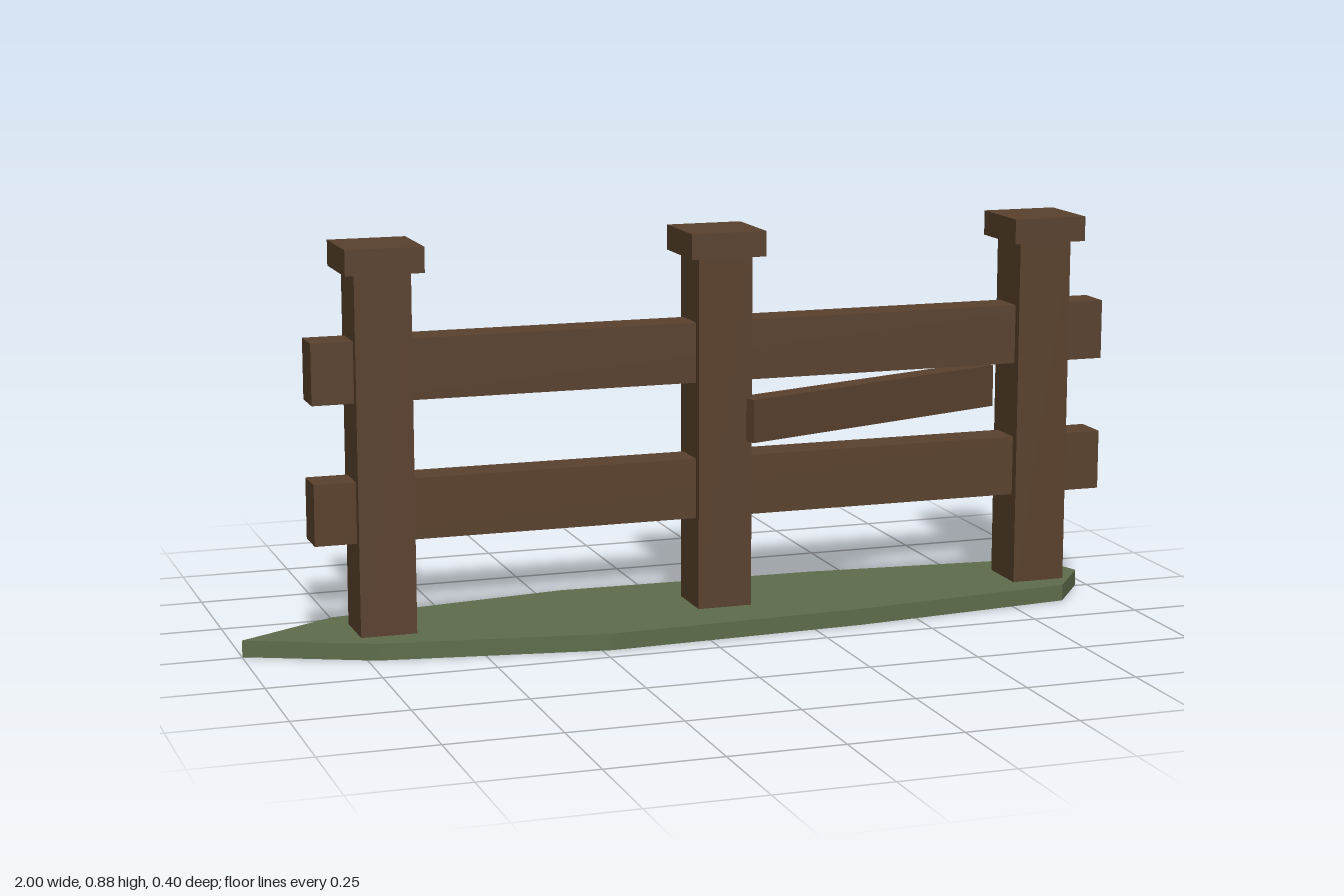
import * as THREE from 'three';

export function createModel() {
  const model = new THREE.Group();
  model.name = 'fence';

  const wood = new THREE.MeshStandardMaterial({ color: 0x5a412d, flatShading: true });
  wood.name = 'brown wood';
  const grass = new THREE.MeshStandardMaterial({ color: 0x5e6d4b, flatShading: true });
  grass.name = 'grass green';

  // Box beam centred on x and z, spanning bottom to top
  function beam(name, width, bottom, top, depth, x = 0, z = 0) {
    const mesh = new THREE.Mesh(new THREE.BoxGeometry(width, top - bottom, depth), wood);
    mesh.name = name;
    mesh.position.set(x, (bottom + top) / 2, z);
    model.add(mesh);
    return mesh;
  }

  // Leaf-shaped patch of ground, outline given as x, z
  const outline = [
    [-1, 0], [-0.73, 0.12], [-0.23, 0.2], [0.36, 0.175], [0.88, 0.12],
    [0.97, 0], [0.93, -0.13], [0.37, -0.183], [-0.23, -0.2], [-0.775, -0.13],
  ];
  const shape = new THREE.Shape(outline.map(([x, z]) => new THREE.Vector2(x, -z)));
  const groundGeometry = new THREE.ExtrudeGeometry(shape, { depth: 0.037, bevelEnabled: false });
  groundGeometry.rotateX(-Math.PI / 2);
  const ground = new THREE.Mesh(groundGeometry, grass);
  ground.name = 'groundPatch';
  ground.position.y = 0.001;
  model.add(ground);

  // Posts with square caps, reaching through the ground patch
  [['right', -0.691], ['middle', 0.077], ['left', 0.845]].forEach(([side, x]) => {
    beam(side + 'Post', 0.124, 0, 0.828, 0.124, x);
    beam(side + 'PostCap', 0.172, 0.828, 0.884, 0.172, x);
  });

  // Long horizontal rails
  beam('lowerRail', 1.845, 0.242, 0.377, 0.084, 0.0775);
  beam('upperRail', 1.845, 0.548, 0.682, 0.084, 0.0775);

  // Loose middle rail, swung out behind the fence
  const loose = beam('looseRail', 0.718, 0.413, 0.51, 0.053, 0.466, -0.053);
  loose.rotation.y = Math.atan2(0.231, 0.68);

  return model;
}
